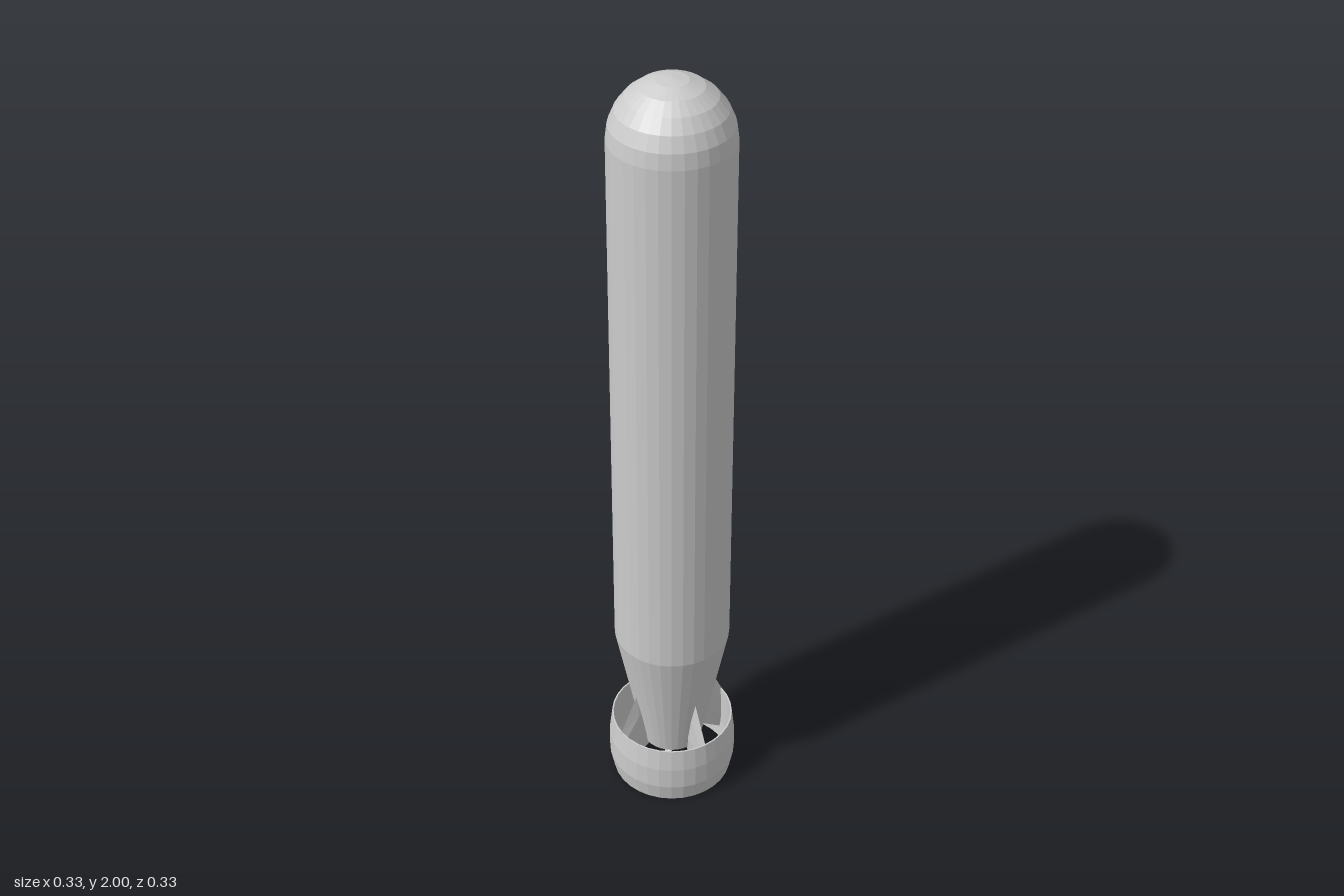
import * as THREE from 'three';

const V = (x, y) => new THREE.Vector2(x, y);
const SEG = 32;

export function createModel() {
  const model = new THREE.Group();
  const mat = new THREE.MeshStandardMaterial({ color: 0xcccccc, flatShading: true, side: THREE.DoubleSide });
  const add = (geometry, name, parent = model) => {
    const mesh = new THREE.Mesh(geometry, mat);
    mesh.name = name;
    parent.add(mesh);
    return mesh;
  };

  // Hull: tapered tail, straight cylinder and hemispherical nose
  const R = 0.145;
  const hull = [V(0, 0.1), V(0.076, 0.1), V(R, 0.455)];
  for (let i = 0; i <= 6; i++) {
    const a = (i / 6) * Math.PI / 2;
    hull.push(V(i === 6 ? 0 : R * Math.cos(a), 1.855 + R * Math.sin(a)));
  }
  add(new THREE.LatheGeometry(hull, SEG), 'hull');

  // Shroud ring around the tail, open at both ends
  const ring = [V(0.149, 0), V(0.153, 0), V(0.163, 0.05), V(0.163, 0.11), V(0.156, 0.17),
    V(0.152, 0.17), V(0.153, 0.11), V(0.153, 0.05), V(0.149, 0)];
  add(new THREE.LatheGeometry(ring, SEG), 'shroudRing');

  // Four lens-section fins joining hull and shroud
  const fin = finGeometry([
    { r: 0.066, low: 0.095, high: 0.28 },
    { r: 0.105, low: 0.066, high: 0.28 },
    { r: 0.157, low: 0.03, high: 0.168 },
  ], 0.005);
  for (let i = 0; i < 4; i++) add(fin, 'fin').rotation.y = i * Math.PI / 2;

  // Propeller with hub and four pitched blades
  const propeller = new THREE.Group();
  propeller.name = 'propeller';
  model.add(propeller);
  add(new THREE.LatheGeometry([V(0, 0.04), V(0.01, 0.045), V(0.015, 0.06), V(0.015, 0.105)], 12), 'hub', propeller);
  const blade = new THREE.SphereGeometry(1, 10, 6).scale(0.024, 0.004, 0.014);
  blade.rotateX(0.5).translate(0.034, 0.065, 0);
  for (let i = 0; i < 4; i++) add(blade, 'blade', propeller).rotation.y = Math.PI / 4 + i * Math.PI / 2;

  return model;
}

// Lofts a six-sided lens between stations measured out from the axis
function finGeometry(stations, half) {
  const section = [[0, 0], [0.3, 1], [0.65, 1], [1, 0], [0.65, -1], [0.3, -1]];
  const n = section.length;
  const pos = [], idx = [];
  for (const s of stations)
    for (const [t, w] of section) pos.push(s.r, s.low + (s.high - s.low) * t, w * half);
  for (let k = 0; k < stations.length - 1; k++)
    for (let i = 0; i < n; i++) {
      const a = k * n + i, b = k * n + (i + 1) % n;
      idx.push(a, a + n, b, b, a + n, b + n);
    }
  const last = (stations.length - 1) * n;
  for (let i = 1; i < n - 1; i++) idx.push(0, i, i + 1, last, last + i + 1, last + i);
  const g = new THREE.BufferGeometry();
  g.setAttribute('position', new THREE.Float32BufferAttribute(pos, 3));
  g.setIndex(idx);
  g.computeVertexNormals();
  return g;
}
